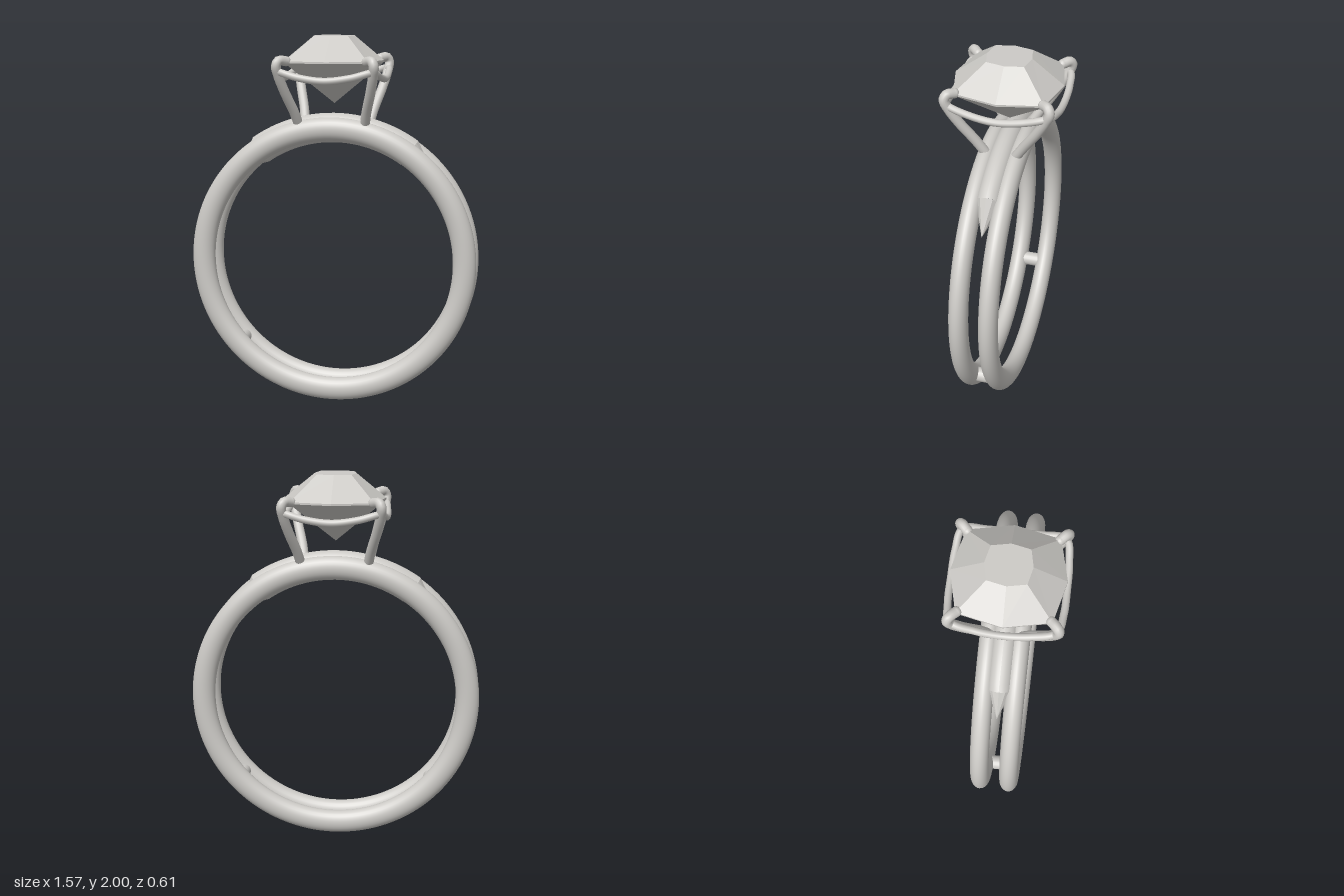
import * as THREE from 'three';

const CY = 0.785; // centre height of the bands
const R = 0.7225; // middle radius of the bands

// Sweep of an ellipse along the arc; each station is [angle, scale]
function arcSweep(stations, sides) {
  const pos = [], index = [];
  for (const [t, s] of stations) {
    for (let j = 0; j <= sides; j++) {
      const p = (j / sides) * Math.PI * 2;
      const r = R + 0.08 * s * Math.cos(p);
      pos.push(r * Math.sin(t), CY + r * Math.cos(t), 0.066 * s * Math.sin(p));
    }
  }
  const n = sides + 1;
  for (let i = 0; i < stations.length - 1; i++) {
    for (let j = 0; j < sides; j++) {
      const a = i * n + j, b = a + 1, c = a + n, d = c + 1;
      index.push(a, b, c, b, d, c);
    }
  }
  const g = new THREE.BufferGeometry();
  g.setAttribute('position', new THREE.Float32BufferAttribute(pos, 3));
  g.setIndex(index);
  return g;
}

// Faceted stone from octagonal rings, ordered bottom to top
function gemGeometry() {
  // [height, mid x, mid z, corner x, corner z]
  const rings = [
    [1.64, 0, 0, 0, 0],
    [1.862, 0.268, 0.284, 0.218, 0.232],
    [1.872, 0.268, 0.284, 0.218, 0.232],
    [2, 0.11, 0.117, 0.09, 0.097],
    [2, 0, 0, 0, 0],
  ];
  const corner = ([y, mx, mz, cx, cz], j) => {
    const a = (j * Math.PI) / 4;
    const x = Math.sign(Math.round(Math.cos(a) * 10)), z = Math.sign(Math.round(Math.sin(a) * 10));
    return j % 2 ? [x * cx, y, z * cz] : [x * mx, y, z * mz];
  };
  const pos = [];
  for (let i = 0; i < rings.length - 1; i++) {
    for (let j = 0; j < 8; j++) {
      const a = corner(rings[i], j), b = corner(rings[i], j + 1);
      const c = corner(rings[i + 1], j), d = corner(rings[i + 1], j + 1);
      if (i < rings.length - 2) pos.push(...c, ...d, ...b);
      if (i > 0) pos.push(...a, ...c, ...b);
    }
  }
  const g = new THREE.BufferGeometry();
  g.setAttribute('position', new THREE.Float32BufferAttribute(pos, 3));
  g.computeVertexNormals();
  return g;
}

export function createModel() {
  const model = new THREE.Group();
  model.name = 'ring';
  const silver = new THREE.MeshStandardMaterial({ color: 0xcccac6 });
  silver.name = 'silver';

  const add = (name, geometry, parent = model) => {
    const mesh = new THREE.Mesh(geometry, silver);
    mesh.name = name;
    parent.add(mesh);
    return mesh;
  };

  // Twin bands and the pins joining them low on each side
  for (const s of [1, -1]) {
    const band = add(s > 0 ? 'frontBand' : 'backBand', new THREE.TorusGeometry(R, 0.0625, 28, 128));
    band.position.set(0, CY, s * 0.079);
    band.scale.z = 0.8;

    const pin = add(s > 0 ? 'leftPin' : 'rightPin', new THREE.CylinderGeometry(0.04, 0.04, 0.14, 20));
    pin.rotation.x = Math.PI / 2;
    pin.position.set(s * 0.53, 0.3, 0);
  }

  // Bridge between the bands, ending in faceted points
  const end = 0.605, tip = 0.848;
  const stations = [];
  for (let i = 0; i <= 24; i++) stations.push([-end + (2 * end * i) / 24, 1]);
  const bridge = arcSweep(stations, 28);
  bridge.computeVertexNormals();
  add('bridge', bridge);
  for (const s of [1, -1]) {
    const ends = s > 0 ? [[end, 1], [tip, 0.01]] : [[-tip, 0.01], [-end, 1]];
    const point = arcSweep(ends, 12).toNonIndexed();
    point.computeVertexNormals();
    add(s > 0 ? 'leftBridgePoint' : 'rightBridgePoint', point);
  }

  // Four claws hooking over the corners of the stone
  const clawPath = [
    [0.178, 1.52, 0.075], [0.195, 1.6, 0.125], [0.228, 1.71, 0.197], [0.25, 1.8, 0.248],
    [0.256, 1.852, 0.268], [0.243, 1.876, 0.257], [0.212, 1.872, 0.226],
  ];
  for (const sx of [1, -1]) {
    for (const sz of [1, -1]) {
      const claw = new THREE.Group();
      claw.name = 'claw';
      model.add(claw);
      const pts = clawPath.map(([x, y, z]) => new THREE.Vector3(sx * x, y, sz * z));
      add('clawWire', new THREE.TubeGeometry(new THREE.CatmullRomCurve3(pts), 40, 0.026, 14), claw);
      const clawTip = add('clawTip', new THREE.SphereGeometry(0.026, 14, 10), claw);
      clawTip.position.copy(pts[pts.length - 1]);
    }
  }

  // Gallery wire: a rounded square dipping between the claws
  const quarter = [[0.274, 1.774, 0], [0.269, 1.791, 0.14], [0.247, 1.818, 0.257], [0.14, 1.791, 0.281]];
  const mid = [0, 1.774, 0.285];
  const half = [...quarter, mid, ...quarter.slice(1).reverse().map(([x, y, z]) => [-x, y, z])];
  const loop = [...half, ...half.map(([x, y, z]) => [-x, y, -z])];
  const galleryCurve = new THREE.CatmullRomCurve3(loop.map((p) => new THREE.Vector3(...p)), true);
  add('galleryWire', new THREE.TubeGeometry(galleryCurve, 128, 0.019, 12, true));

  // Cushion-cut stone
  add('stone', gemGeometry());

  return model;
}
